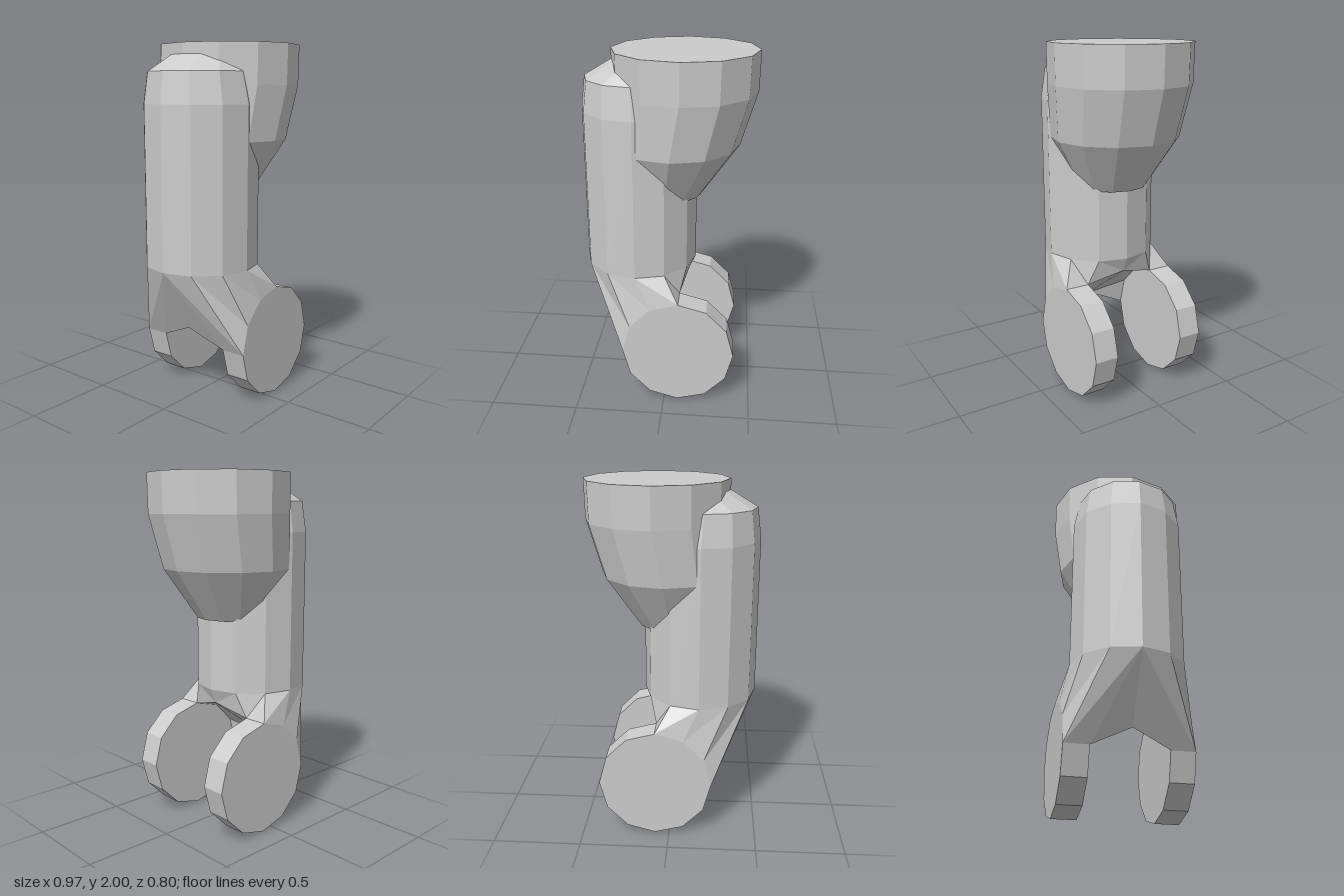
import * as THREE from 'three';

const SIDES = 12;
const material = new THREE.MeshStandardMaterial({ color: 0xcccccc, flatShading: true });

function addMesh(group, name, geometry) {
  const mesh = new THREE.Mesh(geometry, material);
  mesh.name = name;
  group.add(mesh);
  return mesh;
}

// Closed twelve-sided body through rings [y, radius, centreX], listed from the top down
function ringBody(rings) {
  const n = rings.length - 1;
  const geometry = new THREE.CylinderGeometry(1, 1, 1, SIDES, n);
  const p = geometry.attributes.position;
  for (let i = 0; i < p.count; i++) {
    const [y, r, cx] = rings[Math.round((0.5 - p.getY(i)) * n)];
    p.setXYZ(i, cx + p.getX(i) * r, y, p.getZ(i) * r);
  }
  geometry.computeVertexNormals();
  return geometry;
}

// Column and fork measurements
const COLUMN = { x: -0.165, r: 0.322, bottom: 0.785 };
const DISC = { x: 0.08, y: 0.325, r: 0.32, inner: 0.215, outer: 0.355 };

// Faceted transition from the column's bottom ring to the two discs
function forkGeometry() {
  const rad = THREE.MathUtils.degToRad;
  const column = (deg) => [
    COLUMN.x + COLUMN.r * Math.cos(rad(deg)), COLUMN.bottom, COLUMN.r * Math.sin(rad(deg)),
  ];
  const disc = (deg, z) => [
    DISC.x + DISC.r * Math.cos(rad(deg)), DISC.y + DISC.r * Math.sin(rad(deg)), z,
  ];
  const c = [0, 30, 60, 90, 120, 150, 180].map(column);
  const o = [90, 120, 150, 180].map((d) => disc(d, DISC.outer));
  const i = [90, 120, 150, 180].map((d) => disc(d, DISC.inner));
  const crown = [0.12, 0.7, 0];
  const arch = [-0.28, 0.42, 0];

  const triangles = [];
  // outer flank
  for (let k = 0; k < 3; k++) {
    triangles.push([c[k + 2], c[k + 3], o[k]], [c[k + 3], o[k + 1], o[k]]);
  }
  triangles.push(
    // back of the leg
    [c[5], c[6], o[3]], [c[6], i[3], o[3]], [c[6], arch, i[3]],
    // front of the leg
    [c[1], c[2], i[0]], [c[2], o[0], i[0]], [c[0], c[1], crown], [c[1], i[0], crown],
    // hollow between the legs
    [crown, i[0], i[1]], [crown, i[1], arch], [i[1], i[2], arch], [i[2], i[3], arch],
  );

  // Both halves, the second mirrored in z with its winding reversed
  const positions = [];
  for (const t of triangles) {
    positions.push(...t.flat());
    for (const [x, y, z] of [t[0], t[2], t[1]]) positions.push(x, y, -z);
  }
  const geometry = new THREE.BufferGeometry();
  geometry.setAttribute('position', new THREE.Float32BufferAttribute(positions, 3));
  geometry.computeVertexNormals();
  return geometry;
}

export function createModel() {
  const model = new THREE.Group();
  model.name = 'jointedLink';

  // Flared upper socket, leaning towards the column as it narrows
  addMesh(model, 'upperSocket', ringBody([
    [2, 0.4, 0.085], [1.78, 0.398, 0.083], [1.48, 0.362, 0.03], [1.195, 0.2, -0.01],
  ]));

  // Upright column with a domed top
  addMesh(model, 'column', ringBody([
    [1.94, 0.2, -0.115], [1.85, 0.292, -0.173],
    [1.68, COLUMN.r, COLUMN.x], [COLUMN.bottom, COLUMN.r, COLUMN.x],
  ]));

  addMesh(model, 'fork', forkGeometry());

  // Pair of pivot discs
  const discGeometry = new THREE.CylinderGeometry(
    DISC.r, DISC.r, DISC.outer - DISC.inner, SIDES,
  ).rotateX(Math.PI / 2);
  for (const side of [1, -1]) {
    const name = side > 0 ? 'frontPivotDisc' : 'backPivotDisc';
    addMesh(model, name, discGeometry)
      .position.set(DISC.x, DISC.y, side * (DISC.inner + DISC.outer) / 2);
  }
  return model;
}
